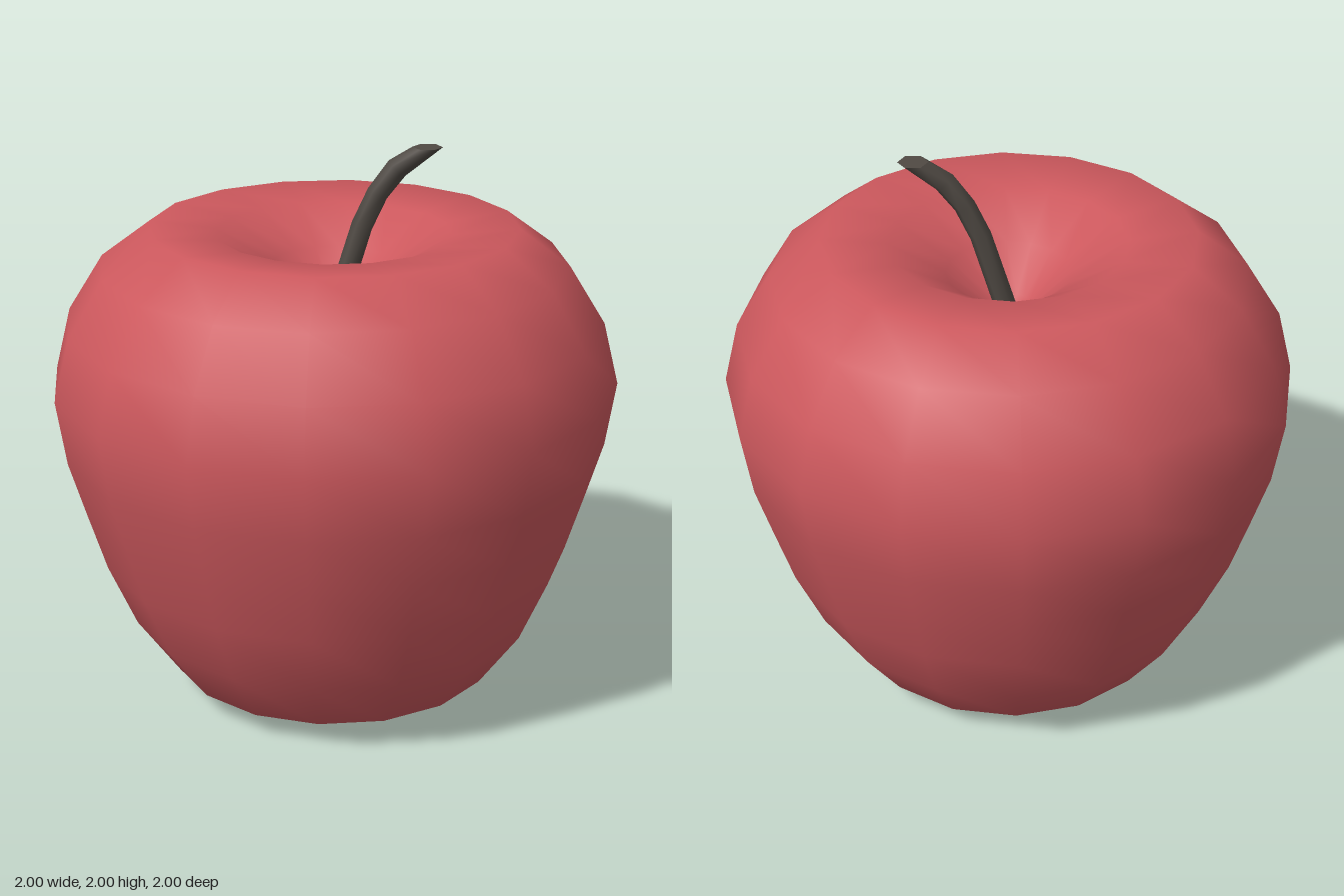
import * as THREE from 'three';

const skin = new THREE.MeshStandardMaterial({ color: 0xcc585d });
skin.name = 'red skin';
const bark = new THREE.MeshStandardMaterial({ color: 0x504a44 });
bark.name = 'dark brown bark';

// Body: one turned profile, from the bottom hollow round to the top hollow
function makeBody() {
  const profile = [
    [0, 0.3], [0.08, 0.23], [0.23, 0.06], [0.41, 0], [0.59, 0.09], [0.74, 0.3],
    [0.84, 0.53], [0.905, 0.74], [0.965, 0.94], [1, 1.17], [0.945, 1.39],
    [0.82, 1.59], [0.645, 1.72], [0.41, 1.695], [0.22, 1.58], [0.08, 1.45], [0, 1.41],
  ].map(([r, y]) => new THREE.Vector2(r, y));
  const body = new THREE.Mesh(new THREE.LatheGeometry(profile, 16), skin);
  body.name = 'fruitBody';
  return body;
}

// Stem: a six-sided cylinder whose rings are moved along a bend
function makeStem() {
  // centre x, centre y, radius, tilt of the ring
  const rings = [
    [0, 1.4, 0.04, 0],
    [0.097, 1.72, 0.037, -0.38],
    [0.15, 1.835, 0.037, -0.48],
    [0.217, 1.925, 0.039, -0.75],
    [0.32, 2, 0.052, 0],
  ];
  const last = rings.length - 1;
  const geo = new THREE.CylinderGeometry(1, 1, last, 6, last, false, Math.PI / 2);
  const pos = geo.attributes.position;
  for (let i = 0; i < pos.count; i++) {
    const [cx, cy, r, tilt] = rings[Math.round(pos.getY(i) + last / 2)];
    const x = pos.getX(i) * r;
    pos.setXYZ(i, cx + x * Math.cos(tilt), cy + x * Math.sin(tilt), pos.getZ(i) * r);
  }
  geo.computeVertexNormals();

  // Smooth the seam where each ring closes
  const normal = geo.attributes.normal;
  const a = new THREE.Vector3();
  const b = new THREE.Vector3();
  for (let row = 0; row <= last; row++) {
    const first = row * 7;
    a.fromBufferAttribute(normal, first);
    b.fromBufferAttribute(normal, first + 6);
    a.add(b).normalize();
    normal.setXYZ(first, a.x, a.y, a.z);
    normal.setXYZ(first + 6, a.x, a.y, a.z);
  }
  const stem = new THREE.Mesh(geo, bark);
  stem.name = 'stem';
  return stem;
}

export function createModel() {
  const fruit = new THREE.Group();
  fruit.name = 'apple';
  fruit.add(makeBody(), makeStem());
  return fruit;
}
